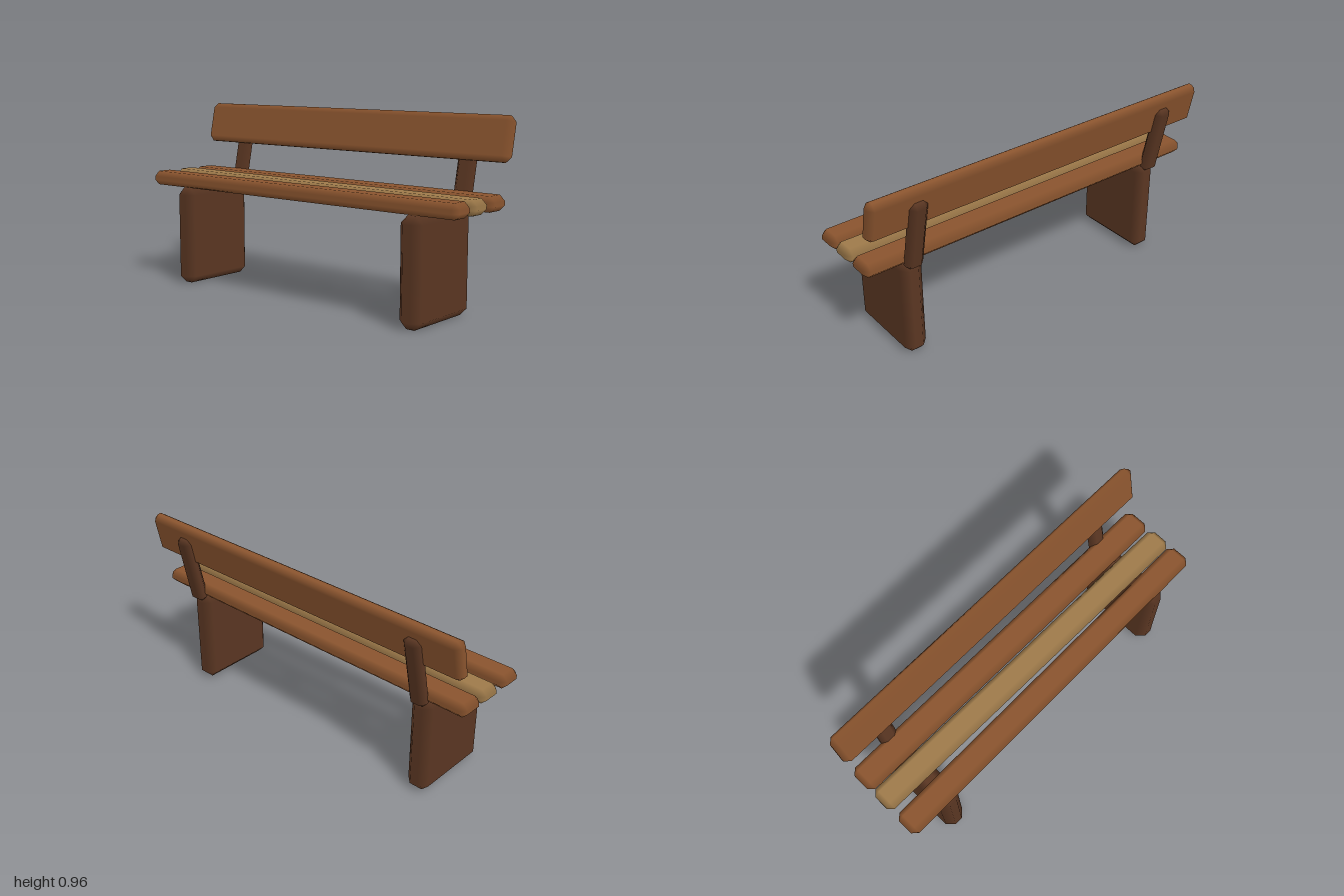
import * as THREE from 'three';
import { ConvexGeometry } from 'three/addons/geometries/ConvexGeometry.js';

const darkWood = new THREE.MeshStandardMaterial({ color: 0x5a3622 });
const midWood = new THREE.MeshStandardMaterial({ color: 0x8a542e });
const paleWood = new THREE.MeshStandardMaterial({ color: 0x9e7a4a });

// Box with chamfered edges and corners; flat faces, softly shaded chamfers
function chamferBox(w, h, d, c) {
  const half = [w / 2, h / 2, d / 2];
  const points = [];
  for (let axis = 0; axis < 3; axis++)
    for (const sx of [-1, 1]) for (const sy of [-1, 1]) for (const sz of [-1, 1]) {
      const p = [sx, sy, sz].map((s, i) => s * (half[i] - (i === axis ? 0 : c)));
      points.push(new THREE.Vector3(...p));
    }
  const geometry = new ConvexGeometry(points);
  // each corner takes the normal of the main face it belongs to
  const pos = geometry.attributes.position;
  const normal = geometry.attributes.normal;
  for (let i = 0; i < pos.count; i++) {
    const p = [pos.getX(i), pos.getY(i), pos.getZ(i)];
    const n = p.map((v, k) => (Math.abs(Math.abs(v) - half[k]) < 1e-4 ? Math.sign(v) : 0));
    normal.setXYZ(i, ...n);
  }
  return geometry;
}

function addPart(group, name, size, chamfer, material, position, rotX = 0, rotY = 0) {
  const mesh = new THREE.Mesh(chamferBox(...size, chamfer), material);
  mesh.name = name;
  mesh.position.set(...position);
  mesh.rotation.set(rotX, rotY, 0);
  group.add(mesh);
}

export function createModel() {
  const bench = new THREE.Group();
  bench.name = 'bench';
  const lean = -0.205;

  // Slab legs and leaning back posts
  for (const [side, s] of [['left', 1], ['right', -1]]) {
    addPart(bench, side + 'Leg', [0.12, 0.525, 0.45], 0.038, darkWood, [s * 0.75, 0.2625, 0.05]);
    addPart(bench, side + 'BackPost', [0.096, 0.395, 0.068], 0.026, darkWood, [s * 0.75, 0.7, -0.204], lean);
  }

  // Seat planks, laid slightly askew
  const planks = [
    ['frontPlank', midWood, 0.2, 0.134, 0.008],
    ['middlePlank', paleWood, 0.047, 0.132, -0.007],
    ['backPlank', midWood, -0.101, 0.142, -0.002],
  ];
  for (const [name, material, z, depth, yaw] of planks)
    addPart(bench, name, [2, 0.075, depth], 0.028, material, [0, 0.5635, z], 0, yaw);

  // Backrest board
  addPart(bench, 'backrest', [2, 0.22, 0.075], 0.028, midWood, [0, 0.852, -0.201], lean);
  return bench;
}
